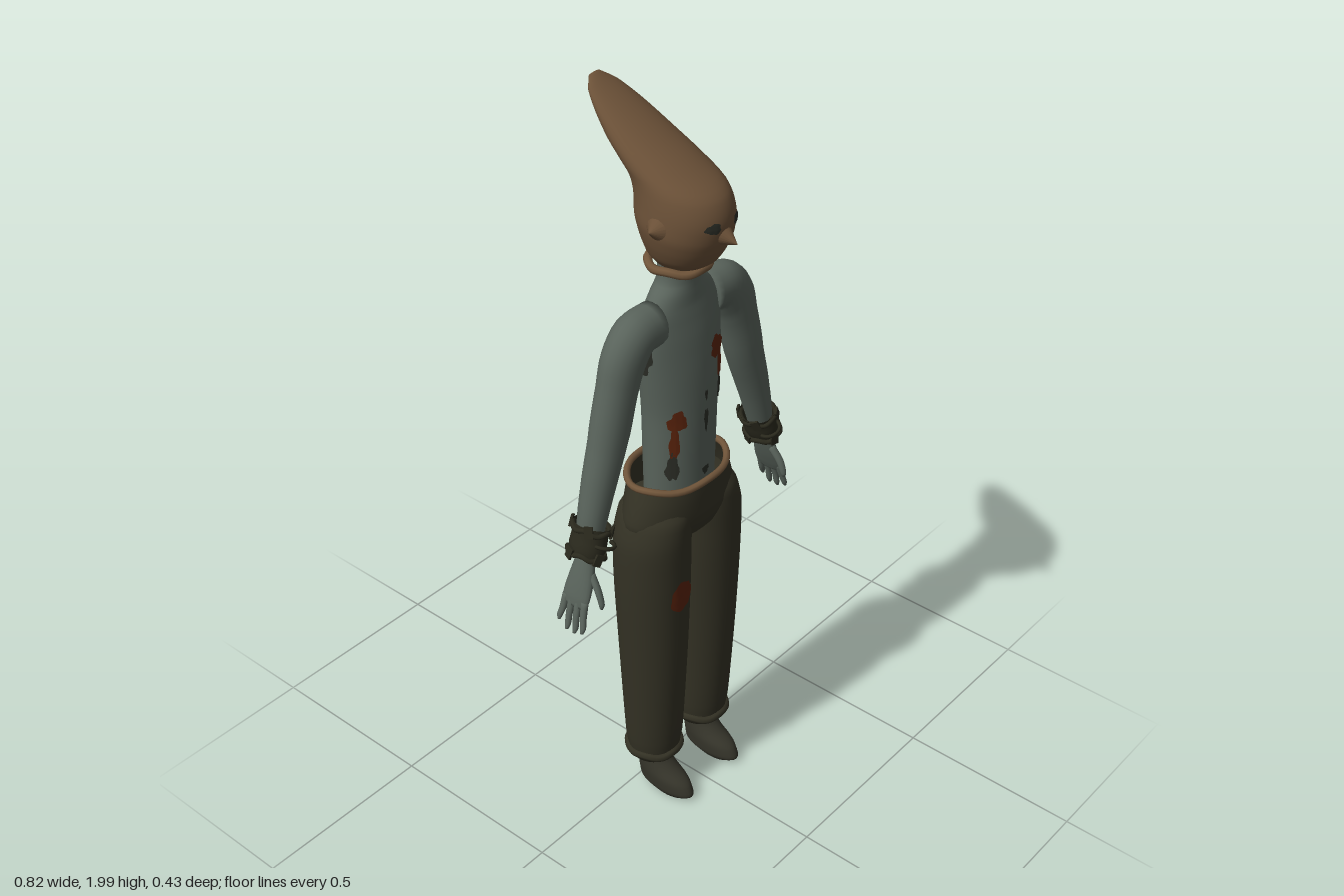
import * as THREE from 'three';

const material = (name, color, side = THREE.FrontSide) => {
  const m = new THREE.MeshStandardMaterial({ color, side });
  m.name = name;
  return m;
};

// Smooth closed rings [x, y, z, ru, rv, tiltZ, tiltX], listed from bottom to top
function loft(rings, sides = 28, steps = 4, caps = true) {
  const vec = (a, b, c) => new THREE.CatmullRomCurve3(rings.map(r => new THREE.Vector3(r[a] ?? 0, r[b] ?? 0, r[c] ?? 0)));
  const centre = vec(0, 1, 2), size = vec(3, 4, 5), lean = vec(6, 6, 6);
  const n = (rings.length - 1) * steps, pos = [], idx = [];
  for (let j = 0; j <= n; j++) {
    const c = centre.getPoint(j / n), s = size.getPoint(j / n), b = lean.getPoint(j / n).x;
    for (let i = 0; i < sides; i++) {
      const t = i / sides * Math.PI * 2, u = s.x * Math.cos(t), v = s.y * Math.sin(t);
      pos.push(c.x + u * Math.cos(s.z), c.y + u * Math.sin(s.z) + v * Math.sin(b), c.z + v * Math.cos(b));
    }
  }
  for (let j = 0; j < n; j++) for (let i = 0; i < sides; i++) {
    const a = j * sides + i, b = j * sides + (i + 1) % sides;
    idx.push(a, a + sides, b, b, a + sides, b + sides);
  }
  if (caps) [0, n].forEach((j, end) => {
    const pole = pos.length / 3;
    pos.push(...centre.getPoint(end).toArray());
    for (let i = 0; i < sides; i++) {
      const a = j * sides + i, b = j * sides + (i + 1) % sides;
      idx.push(pole, ...(end ? [b, a] : [a, b]));
    }
  });
  const g = new THREE.BufferGeometry();
  g.setAttribute('position', new THREE.Float32BufferAttribute(pos, 3));
  g.setIndex(idx);
  g.computeVertexNormals();
  return g;
}

// Slightly wavy elliptical cord
function hoop(rx, rz, r, wave = 0) {
  const pts = [];
  for (let i = 0; i < 24; i++) {
    const t = i / 24 * Math.PI * 2;
    pts.push(new THREE.Vector3(rx * Math.cos(t), wave * Math.sin(t * 5), rz * Math.sin(t)));
  }
  return new THREE.TubeGeometry(new THREE.CatmullRomCurve3(pts, true), 48, r, 8, true);
}

// Ragged patch laid on a surface, seen along a yaw direction
function patch(target, [x, y, z], rx, ry, yaw = 0, rough = 0.15) {
  const g = new THREE.RingGeometry(0.001, 1, 28, 5), p = g.attributes.position;
  const dir = new THREE.Vector3(Math.sin(yaw), 0, Math.cos(yaw));
  const right = new THREE.Vector3(Math.cos(yaw), 0, -Math.sin(yaw));
  const ray = new THREE.Raycaster();
  let depth = 0.9;
  for (let i = 0; i < p.count; i++) {
    const t = Math.atan2(p.getY(i), p.getX(i));
    const k = 1 + rough * (Math.sin(3 * t + x * 40) + 0.6 * Math.sin(7 * t + y * 20));
    const o = new THREE.Vector3(x, y + p.getY(i) * ry * k, z).addScaledVector(right, p.getX(i) * rx * k).add(dir);
    ray.set(o, dir.clone().negate());
    depth = ray.intersectObject(target)[0]?.distance ?? depth;
    o.addScaledVector(dir, 0.004 - depth);
    p.setXYZ(i, o.x, o.y, o.z);
  }
  g.computeVertexNormals();
  return g;
}

export function createModel() {
  const model = new THREE.Group();
  model.name = 'hoodedFigure';
  const skin = material('greySkin', 0x59635b);
  const hood = material('brownHood', 0x6a5037);
  const cloth = material('darkTrousers', 0x333124, THREE.DoubleSide);
  const rope = material('tanRope', 0x70553a);
  const shoe = material('shoeLeather', 0x35342a);
  const cuffCloth = material('cuffLeather', 0x2a291d, THREE.DoubleSide);
  const rust = material('rustStain', 0x5a230c, THREE.DoubleSide);
  const dark = material('darkMark', 0x2b2d26, THREE.DoubleSide);
  const add = (name, geo, mat, parent = model) => {
    const m = new THREE.Mesh(geo, mat);
    m.name = name;
    parent.add(m);
    return m;
  };

  // Torso and neck
  const torso = add('torso', loft([
    [0, 0.94, 0.048, 0.1, 0.078], [0, 1.05, 0.048, 0.103, 0.08], [0, 1.2, 0.048, 0.106, 0.083],
    [0, 1.32, 0.048, 0.12, 0.08], [0, 1.42, 0.046, 0.13, 0.07], [0, 1.49, 0.046, 0.125, 0.056],
    [0, 1.535, 0.045, 0.092, 0.05], [0, 1.565, 0.045, 0.062, 0.047], [0, 1.63, 0.045, 0.054, 0.046],
  ], 36), skin);

  // Hood rings: front z, y, back z, y, half width
  const head = add('hood', loft([
    [0.115, 1.605, -0.02, 1.61, 0.058], [0.145, 1.628, -0.035, 1.64, 0.082], [0.165, 1.66, -0.05, 1.69, 0.1],
    [0.18, 1.7, -0.06, 1.74, 0.11], [0.185, 1.75, -0.065, 1.785, 0.106], [0.165, 1.8, -0.08, 1.82, 0.1],
    [0.09, 1.845, -0.105, 1.85, 0.094], [0, 1.892, -0.14, 1.885, 0.084], [-0.1, 1.945, -0.175, 1.93, 0.066],
    [-0.17, 1.98, -0.2, 1.965, 0.045], [-0.206, 1.998, -0.214, 1.985, 0.018],
  ].map(([fz, fy, bz, by, w]) =>
    [0, (fy + by) / 2, (fz + bz) / 2, w, Math.hypot(fz - bz, fy - by) / 2, 0, Math.atan2(fy - by, fz - bz)]), 40), hood);
  const nose = add('nose', new THREE.ConeGeometry(0.042, 0.07, 20), hood);
  nose.position.set(0, 1.709, 0.182);
  nose.rotation.x = Math.PI / 2 + 0.25;
  add('neckCord', hoop(0.07, 0.073, 0.011, 0.003), rope).position.set(0, 1.6, 0.043);
  const knot = add('neckKnot', new THREE.SphereGeometry(0.018, 12, 8), rope);
  knot.position.set(0.01, 1.595, -0.026);

  // Trousers
  add('hips', loft([
    [0, 0.83, 0.045, 0.04, 0.05], [0, 0.865, 0.045, 0.14, 0.085], [0, 0.915, 0.045, 0.183, 0.1],
    [0, 0.97, 0.044, 0.168, 0.103], [0, 1.02, 0.042, 0.146, 0.104],
  ], 36, 4, false), cloth);
  add('beltRope', hoop(0.147, 0.106, 0.009, 0.003), rope).position.set(0, 1.02, 0.041);

  const legs = {};
  for (const s of [1, -1]) {
    const side = s > 0 ? 'left' : 'right';

    // Legs and shoes
    legs[s] = add(side + 'TrouserLeg', loft([
      [0.098, 0.13, 0.047, 0.066, 0.066], [0.098, 0.2, 0.047, 0.077, 0.076], [0.1, 0.5, 0.047, 0.089, 0.092],
      [0.101, 0.75, 0.045, 0.098, 0.1], [0.1, 0.86, 0.045, 0.097, 0.101], [0.09, 0.93, 0.045, 0.086, 0.096],
      [0.08, 0.97, 0.045, 0.06, 0.07],
    ].map(r => [r[0] * s, ...r.slice(1)])), cloth);
    add(side + 'TrouserHem', hoop(0.067, 0.068, 0.013, 0.003), cloth).position.set(0.098 * s, 0.152, 0.047);
    add(side + 'Shoe', loft([
      [0, 0.004, 0.1, 0.026, 0.058], [0, 0.025, 0.093, 0.038, 0.089], [0, 0.055, 0.083, 0.041, 0.083],
      [0, 0.085, 0.06, 0.04, 0.06], [0, 0.115, 0.046, 0.038, 0.046], [0, 0.17, 0.043, 0.038, 0.043],
    ]), shoe).position.x = 0.097 * s;

    // Arm
    const limb = rings => loft(rings.map(([x, y, z, u, v, a = 0.3]) => [x * s, y, z, u, v, a * s]), 20);
    add(side + 'Arm', limb([
      [0.342, 0.92, 0.045, 0.02, 0.026, 0.35], [0.322, 1.02, 0.045, 0.036, 0.036, 0.33],
      [0.29, 1.13, 0.045, 0.046, 0.042, 0.3], [0.26, 1.22, 0.045, 0.052, 0.045, 0.3],
      [0.224, 1.35, 0.045, 0.057, 0.047, 0.38], [0.2, 1.42, 0.045, 0.062, 0.05, 0.6],
      [0.158, 1.468, 0.045, 0.06, 0.052, 1.1], [0.095, 1.472, 0.045, 0.058, 0.05, 1.57],
    ]), skin);

    // Hand with spread fingers
    add(side + 'Palm', limb([
      [0.386, 0.805, 0.042, 0.009, 0.034], [0.378, 0.83, 0.042, 0.014, 0.041],
      [0.364, 0.87, 0.044, 0.018, 0.038], [0.34, 0.94, 0.045, 0.02, 0.025],
    ]), skin);
    for (let i = 0; i < 4; i++) {
      const z = 0.012 + i * 0.02, tip = 0.006 + i * 0.025, drop = [0.018, 0, 0, 0.01][i];
      add(side + 'Finger', limb([
        [0.406, 0.737 + drop, tip, 0.004, 0.004], [0.401, 0.75 + drop, tip, 0.007, 0.008],
        [0.394, 0.785, (z + tip) / 2, 0.008, 0.009], [0.382, 0.825, z, 0.009, 0.01],
      ]), skin);
    }
    add(side + 'Thumb', limb([
      [0.362, 0.812, 0.108, 0.004, 0.004], [0.36, 0.825, 0.107, 0.008, 0.008],
      [0.358, 0.86, 0.094, 0.01, 0.01], [0.352, 0.9, 0.065, 0.01, 0.012],
    ]), skin);

    // Ragged wrist cuff
    const cuff = new THREE.Group();
    cuff.name = side + 'Cuff';
    cuff.position.set(0.332 * s, 0.978, 0.045);
    cuff.rotation.z = 0.33 * s;
    model.add(cuff);
    add('cuffBand', loft([
      [0, -0.042, 0, 0.036, 0.044], [0, -0.015, 0, 0.042, 0.049], [0, 0.015, 0, 0.041, 0.047], [0, 0.042, 0, 0.045, 0.05],
    ], 20, 2, false), cuffCloth, cuff);
    for (const y of [-0.035, 0.03]) add('cuffStrap', hoop(0.042, 0.049, 0.007, 0.004), cuffCloth, cuff).position.y = y;
    for (let i = 0; i < 8; i++) {
      const t = i / 8 * Math.PI * 2 + 0.3, up = i % 2 ? 1 : -1;
      const flap = add('cuffTatter', new THREE.BoxGeometry(0.022, 0.03, 0.006), cuffCloth, cuff);
      flap.position.set(Math.cos(t) * 0.046, up * 0.034, Math.sin(t) * 0.053);
      flap.rotation.set(0, Math.PI / 2 - t, up * 0.25);
    }
    const loop = add('cuffLoop', new THREE.TorusGeometry(0.03, 0.005, 6, 16, Math.PI), cuffCloth, cuff);
    loop.position.set(-0.01 * s, 0, 0.035);
    loop.rotation.x = Math.PI / 2;

    // Side point of the hood, eye and underarm mark
    const point = add(side + 'HoodPoint', new THREE.ConeGeometry(0.06, 0.055, 20), hood);
    point.position.set(0.104 * s, 1.73, 0.065);
    point.rotation.z = -s * Math.PI / 2;
    add(side + 'Eye', patch(head, [0.04 * s, 1.742, 0], 0.018, 0.013, 0, 0.12), dark);
    add(side + 'UnderarmMark', patch(torso, [0, 1.39, 0.04], 0.03, 0.045, s * Math.PI / 2), dark);
  }

  // Stains and streaks: x, y, half width, half height, material
  for (const [x, y, rx, ry, mat] of [
    [0.055, 1.372, 0.031, 0.026, rust], [0.062, 1.325, 0.013, 0.045, rust], [0.06, 1.26, 0.012, 0.036, dark],
    [-0.077, 1.212, 0.018, 0.028, rust], [-0.082, 1.15, 0.009, 0.05, rust], [-0.084, 1.075, 0.011, 0.04, dark],
    [-0.002, 1.265, 0.005, 0.014, dark], [-0.002, 1.195, 0.007, 0.032, dark], [0.002, 1.043, 0.012, 0.012, dark],
  ]) add(mat === rust ? 'chestStain' : 'chestStreak', patch(torso, [x, y, 0], rx, ry), mat);
  add('trouserStain', patch(legs[-1], [-0.1, 0.71, 0], 0.04, 0.045, 0, 0.08), rust);

  return model;
}
